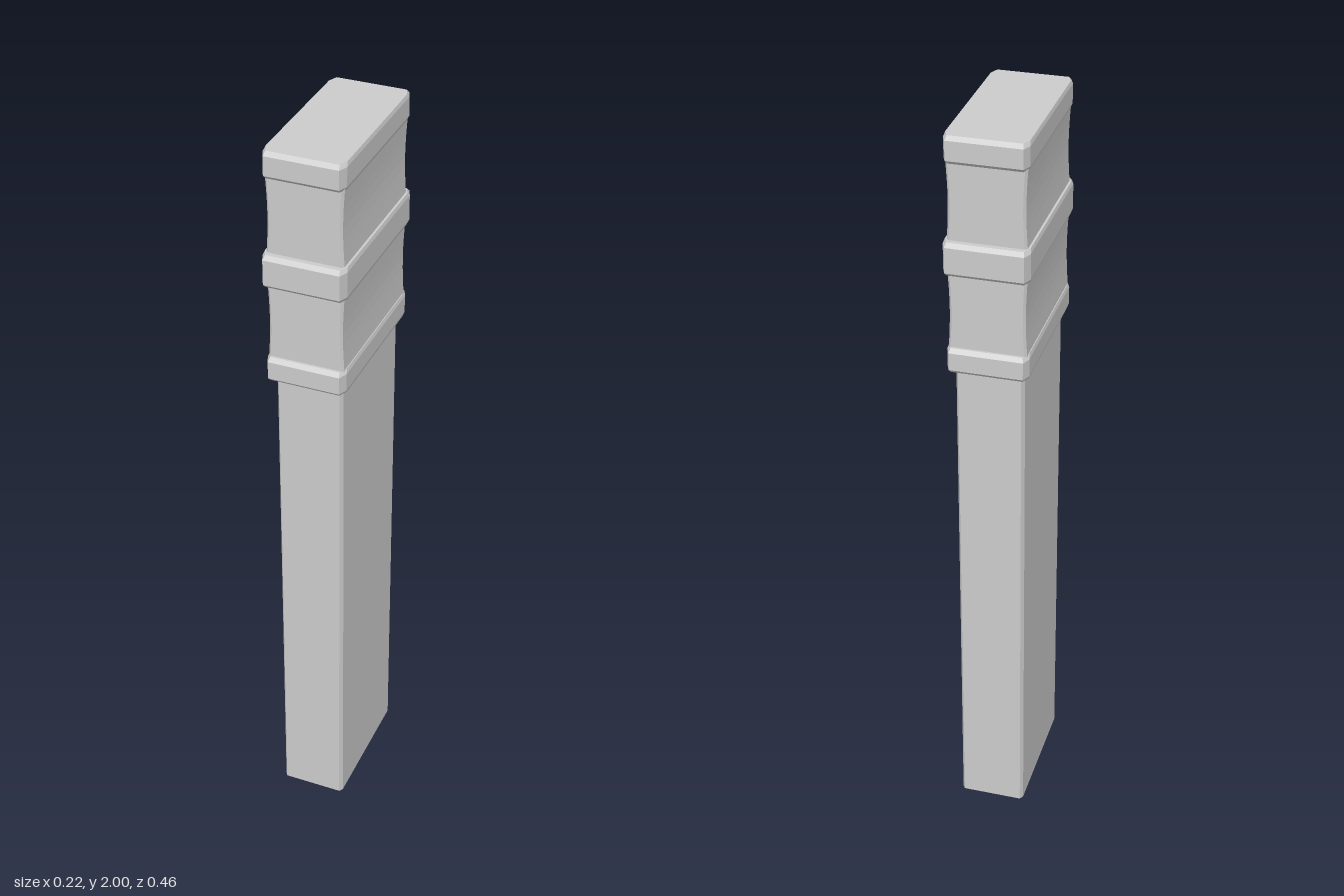
import * as THREE from 'three';

const material = new THREE.MeshStandardMaterial({ color: 0xcccccc, flatShading: true });

// Lofts a chamfered rectangle through rows of [y, halfWidth, halfDepth], capped at both ends.
function loft(name, rows, cx, cz) {
  const ring = ([y, w, d]) => [
    [w, d - cz], [w - cx, d], [cx - w, d], [-w, d - cz],
    [-w, cz - d], [cx - w, -d], [w - cx, -d], [w, cz - d],
  ].map(([x, z]) => [x, y, z]);
  const rings = rows.map(ring);
  const pos = [];
  const tri = (a, b, c) => pos.push(...a, ...b, ...c);
  for (let i = 0; i + 1 < rings.length; i++) {
    for (let j = 0; j < 8; j++) {
      const k = (j + 1) % 8;
      const [a, b, c, d] = [rings[i][j], rings[i][k], rings[i + 1][k], rings[i + 1][j]];
      tri(a, c, b);
      tri(a, d, c);
    }
  }
  const bottom = rings[0], top = rings[rings.length - 1];
  for (let j = 1; j < 7; j++) {
    tri(bottom[0], bottom[j], bottom[j + 1]);
    tri(top[0], top[j + 1], top[j]);
  }
  const geometry = new THREE.BufferGeometry();
  geometry.setAttribute('position', new THREE.Float32BufferAttribute(pos, 3));
  geometry.computeVertexNormals();
  const mesh = new THREE.Mesh(geometry, material);
  mesh.name = name;
  return mesh;
}

// Raised collar with softened upper and lower rims.
function collar(name, y0, y1, w, d) {
  const b = 0.01;
  return loft(name, [
    [y0, w - 0.003, d - b], [y0 + b, w, d], [y1 - b, w, d], [y1, w - 0.003, d - b],
  ], 0.01, 0.024);
}

// Grip section whose narrow waist curves slightly inward.
function grip(name, y0, y1) {
  const rows = [];
  for (let i = 0; i <= 8; i++) {
    const t = i / 8;
    rows.push([y0 + (y1 - y0) * t, 0.1 - 0.005 * Math.sin(Math.PI * t), 0.205]);
  }
  return loft(name, rows, 0.006, 0.006);
}

export function createModel() {
  const group = new THREE.Group();
  group.name = 'post';
  group.add(
    loft('shaft', [[0, 0.088, 0.187], [1.39, 0.088, 0.187]], 0.007, 0.011),
    collar('lowerCollar', 1.378, 1.445, 0.104, 0.221),
    grip('lowerGrip', 1.43, 1.66),
    collar('middleCollar', 1.645, 1.732, 0.108, 0.228),
    grip('upperGrip', 1.72, 1.94),
    collar('topCap', 1.93, 2.0, 0.104, 0.221),
  );
  return group;
}
